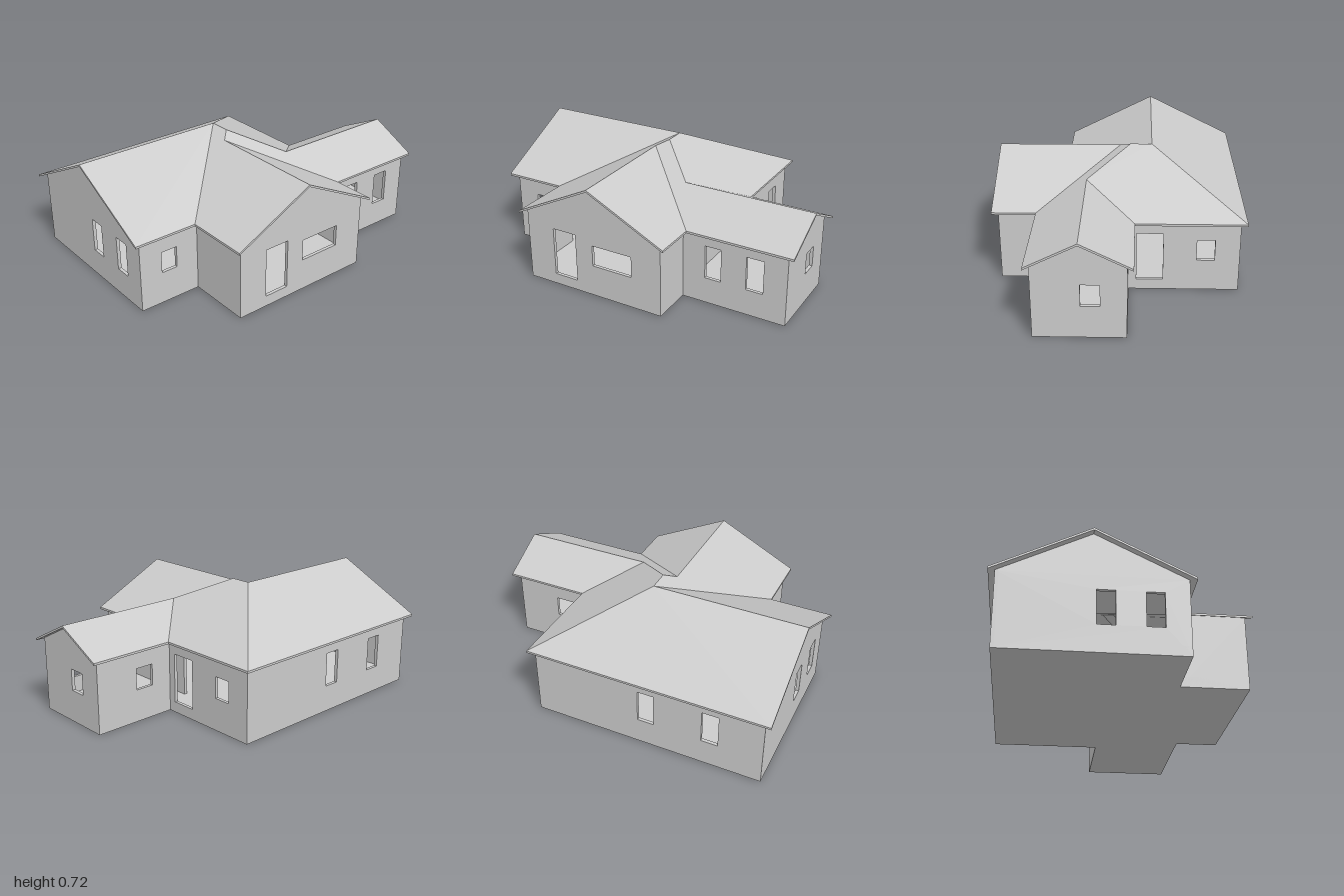
import * as THREE from 'three';

const material = new THREE.MeshStandardMaterial({ color: 0xcccccc, flatShading: true, side: THREE.DoubleSide });
const WALL = 0.02;       // wall thickness
const TOP = 0.45;        // wall height under the eaves
const EAVE = 0.445;      // upper edge of the eaves
const ROOF = 0.013;      // roof sheet thickness

function addMesh(parent, name, geometry) {
  const mesh = new THREE.Mesh(geometry, material);
  mesh.name = name;
  parent.add(mesh);
  return mesh;
}

// Wall from a to b ([x, z], outside on the right hand); openings are
// [from, to, bottom, top] in the world coordinate the wall runs along.
function addWall(parent, name, a, b, openings = [], peak = 0) {
  const dx = b[0] - a[0], dz = b[1] - a[1];
  const length = Math.hypot(dx, dz);
  const start = Math.abs(dx) > Math.abs(dz) ? a[0] : a[1];
  const outline = [[0, 0], [length, 0], [length, TOP]];
  if (peak) outline.push([length / 2, peak]);
  outline.push([0, TOP]);
  const shape = new THREE.Shape(outline.map(p => new THREE.Vector2(...p)));
  for (const [from, to, bottom, top] of openings) {
    const u = [Math.abs(from - start), Math.abs(to - start)].sort((p, q) => p - q);
    shape.holes.push(new THREE.Path([[u[0], bottom], [u[0], top], [u[1], top], [u[1], bottom]]
      .map(p => new THREE.Vector2(...p))));
  }
  const geometry = new THREE.ExtrudeGeometry(shape, { depth: WALL, bevelEnabled: false });
  geometry.translate(0, 0, -WALL);
  const wall = addMesh(parent, name, geometry);
  wall.position.set(a[0], 0, a[1]);
  wall.rotation.y = Math.atan2(-dz, dx);
}

// Roof sheet: sloping planes, the same planes lowered, and the edge boards
function roofGeometry(planes, edge) {
  const positions = [];
  const top = p => [p[0], EAVE + p[2] / 2, p[1]];
  const low = p => [p[0], EAVE + p[2] / 2 - ROOF, p[1]];
  const tri = (a, b, c) => positions.push(...a, ...b, ...c);
  for (const plane of planes) {
    const flat = plane.map(p => new THREE.Vector2(p[0], p[1]));
    if (!THREE.ShapeUtils.isClockWise(flat)) { plane.reverse(); flat.reverse(); }
    for (const [i, j, k] of THREE.ShapeUtils.triangulateShape(flat, [])) {
      const [a, b, c] = [plane[i], plane[j], plane[k]];
      const area = (b[0] - a[0]) * (c[1] - a[1]) - (b[1] - a[1]) * (c[0] - a[0]);
      const [q, r] = area < 0 ? [b, c] : [c, b];
      tri(top(a), top(q), top(r));
      tri(low(a), low(r), low(q));
    }
  }
  edge.forEach((a, i) => {
    const b = edge[(i + 1) % edge.length];
    tri(low(a), low(b), top(b));
    tri(low(a), top(b), top(a));
  });
  const geometry = new THREE.BufferGeometry();
  geometry.setAttribute('position', new THREE.Float32BufferAttribute(positions, 3));
  geometry.computeVertexNormals();
  return geometry;
}

export function createModel() {
  const house = new THREE.Group();
  house.name = 'house';

  // Plan corners, anticlockwise seen from above
  const plan = [
    [-0.58, 0.705], [0.32, 0.705], [0.32, 0.45], [0.96, 0.45], [0.96, -0.065],
    [0.445, -0.065], [0.445, -0.71], [-0.96, -0.71], [-0.96, 0.315], [-0.58, 0.315],
  ];
  const low = (from, to) => [from, to, 0.195, 0.325];   // small window
  const tall = (from, to) => [from, to, 0.16, 0.365];   // tall window
  const door = (from, to) => [from, to, 0.065, 0.365];
  const walls = [
    ['frontGableWall', [door(-0.4, -0.245), low(-0.13, 0.13)], 0.674],
    ['frontGableLeftWall'],
    ['leftWingFrontWall', [tall(0.46, 0.56), tall(0.715, 0.82)]],
    ['leftWingEndWall', [low(0.08, 0.185)], 0.577],
    ['leftWingBackWall', [low(0.575, 0.69)]],
    ['mainLeftWall', [door(-0.11, -0.265), low(-0.46, -0.565)]],
    ['backWall', [tall(-0.31, -0.21), tall(-0.7, -0.6)]],
    ['mainEndWall', [tall(-0.18, -0.08), tall(0.08, 0.18)], 0.706],
    ['mainFrontWall', [low(-0.82, -0.72)]],
    ['frontGableRightWall'],
  ];
  walls.forEach(([name, openings, peak], i) =>
    addWall(house, name, plan[i], plan[(i + 1) % plan.length], openings, peak));

  // Inner wall closing off the left wing
  const inner = addMesh(house, 'partition', new THREE.BoxGeometry(WALL, TOP, 0.5));
  inner.position.set(0.31, TOP / 2, 0.2);

  // Floor slab following the plan
  const floor = new THREE.ExtrudeGeometry(
    new THREE.Shape(plan.map(([x, z]) => new THREE.Vector2(x, -z))), { depth: 0.06, bevelEnabled: false });
  floor.rotateX(-Math.PI / 2);
  addMesh(house, 'floor', floor);

  // Eave corners [x, z, run up the slope]
  const frontR = [-0.615, 0.74, 0], frontL = [0.355, 0.74, 0], valleyL = [0.355, 0.48, 0];
  const wingF = [1, 0.48, 0], wingB = [1, -0.1, 0], valleyB = [0.48, -0.1, 0];
  const backL = [0.48, -0.745, 0], backR = [-1, -0.745, 0];
  const mainF = [-1, 0.35, 0], valleyR = [-0.615, 0.35, 0];
  // Ridge points
  const frontPeak = [-0.13, 0.74, 0.485], frontIn = [-0.13, -0.005, 0.485];
  const wingPeak = [1, 0.19, 0.29], wingIn = [0.19, 0.19, 0.29];
  const mainPeak = [-1, -0.1975, 0.5475], hip = [-0.0675, -0.1975, 0.5475];
  const hipFront = [-0.0675, -0.0675, 0.5475];

  addMesh(house, 'roof', roofGeometry([
    [frontR, frontPeak, frontIn, hipFront, hip, valleyR],
    [frontPeak, frontL, valleyL, frontIn],
    [valleyL, wingF, wingPeak, wingIn, hipFront, frontIn],
    [wingPeak, wingB, valleyB, wingIn],
    [valleyB, backL, hip, hipFront, wingIn],
    [backL, backR, mainPeak, hip],
    [mainPeak, mainF, valleyR, hip],
  ], [frontR, frontPeak, frontL, valleyL, wingF, wingPeak, wingB, valleyB,
    backL, backR, mainPeak, mainF, valleyR]));

  return house;
}
